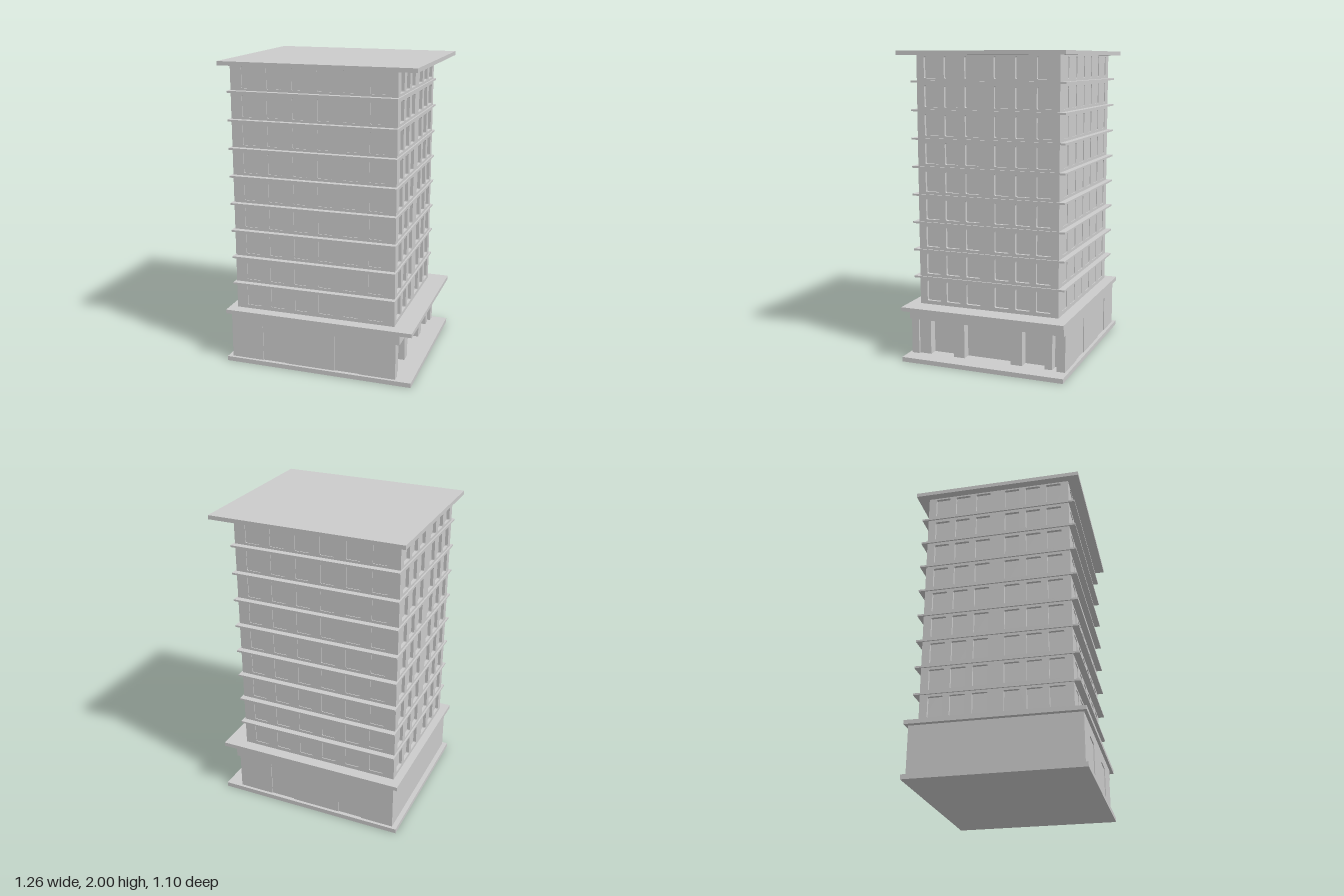
import * as THREE from 'three';

const material = new THREE.MeshStandardMaterial({ color: 0xcccccc, flatShading: true });

const FLOORS = 9, PITCH = 0.18;
const TOWER = { x0: -0.58, x1: 0.5, z: 0.475, y0: 0.36, y1: 1.98 };
const WINDOW = { w: 0.097, h: 0.134, sill: 0.39, r: 0.008 };

// Box given by its limits on each axis
function box(parent, name, [x0, x1], [y0, y1], [z0, z1]) {
  const mesh = new THREE.Mesh(new THREE.BoxGeometry(x1 - x0, y1 - y0, z1 - z0), material);
  mesh.position.set((x0 + x1) / 2, (y0 + y1) / 2, (z0 + z1) / 2);
  mesh.name = name;
  parent.add(mesh);
  return mesh;
}

// Window opening with softened corners
function windowHole(cx, y, { w, h, r }) {
  const a = cx - w / 2, b = cx + w / 2, t = y + h;
  const p = new THREE.Path();
  p.moveTo(a + r, y);
  p.lineTo(b - r, y).quadraticCurveTo(b, y, b, y + r);
  p.lineTo(b, t - r).quadraticCurveTo(b, t, b - r, t);
  p.lineTo(a + r, t).quadraticCurveTo(a, t, a, t - r);
  p.lineTo(a, y + r).quadraticCurveTo(a, y, a + r, y);
  return p;
}

// Wall sheet pierced by six windows per floor, outer face at local z = depth
function facade(name, halfWidth, offsets, depth) {
  const { y0, y1 } = TOWER;
  const shape = new THREE.Shape([
    new THREE.Vector2(-halfWidth, y0), new THREE.Vector2(halfWidth, y0),
    new THREE.Vector2(halfWidth, y1), new THREE.Vector2(-halfWidth, y1),
  ]);
  for (let f = 0; f < FLOORS; f++)
    for (const o of offsets)
      for (const s of [-1, 1])
        shape.holes.push(windowHole(s * o, WINDOW.sill + f * PITCH, WINDOW));
  const geometry = new THREE.ExtrudeGeometry(shape, { depth, bevelEnabled: false, curveSegments: 3 });
  const mesh = new THREE.Mesh(geometry, material);
  mesh.name = name;
  return mesh;
}

function buildTower() {
  const tower = new THREE.Group();
  tower.name = 'tower';
  const { x0, x1, z, y0, y1 } = TOWER;
  const side = 0.02, face = 0.005, cx = (x0 + x1) / 2;

  // Core doubles as the window panes
  box(tower, 'windowPanes', [x0 + side, x1 - side], [y0, y1], [-z + face, z - face]);

  // Pierced walls on all four sides
  for (const s of [-1, 1]) {
    const sideWall = facade(s > 0 ? 'leftWall' : 'rightWall', z, [0.098, 0.238, 0.376], side);
    sideWall.rotation.y = s * Math.PI / 2;
    sideWall.position.x = s > 0 ? x1 - side : x0 + side;
    tower.add(sideWall);

    const endWall = facade(s > 0 ? 'frontWall' : 'backWall', (x1 - x0) / 2 - side, [0.082, 0.25, 0.417], face);
    endWall.rotation.y = s > 0 ? 0 : Math.PI;
    endWall.position.set(cx, 0, s * (z - face));
    tower.add(endWall);
  }

  // Thin ledge between floors
  for (let f = 1; f < FLOORS; f++) {
    const y = 0.365 + f * 0.1805;
    box(tower, 'floorLedge', [x0 - 0.01, x1 + 0.01], [y - 0.006, y + 0.006], [-0.515, 0.515]);
  }
  return tower;
}

function buildGroundFloor() {
  const ground = new THREE.Group();
  ground.name = 'groundFloor';
  const low = [0.03, 0.27];

  // Inner block: door panels at front and back, set-back shop wall at +x
  box(ground, 'innerBlock', [-0.6, 0.45], [0.03, 0.34], [-0.524, 0.524]);

  // Outer wall pieces that leave two door recesses front and back
  for (const s of [-1, 1]) {
    const zr = s > 0 ? [0.524, 0.53] : [-0.53, -0.524];
    for (const xr of [[-0.6, -0.38], [-0.215, 0.12], [0.286, 0.45]])
      box(ground, 'outerWall', xr, low, zr);
    box(ground, 'doorHeader', [-0.6, 0.45], [0.27, 0.34], zr);
    box(ground, 'cornerPier', [0.45, 0.525], low, s > 0 ? [0.48, 0.53] : [-0.53, -0.475]);
  }

  // Columns of the open arcade and the fascia above them
  for (const zr of [[0.4, 0.48], [0.16, 0.235], [-0.24, -0.16], [-0.44, -0.39]])
    box(ground, 'arcadeColumn', [0.45, 0.51], low, zr);
  box(ground, 'fascia', [0.45, 0.55], [0.27, 0.34], [-0.53, 0.53]);
  return ground;
}

export function createModel() {
  const model = new THREE.Group();
  model.name = 'officeBlock';
  // Three equal wide slabs: base, podium roof and tower roof
  for (const [name, y0, y1] of [['baseSlab', 0, 0.03], ['podiumSlab', 0.34, 0.366], ['roofSlab', 1.974, 2]])
    box(model, name, [-0.632, 0.632], [y0, y1], [-0.55, 0.55]);
  model.add(buildGroundFloor(), buildTower());
  return model;
}
